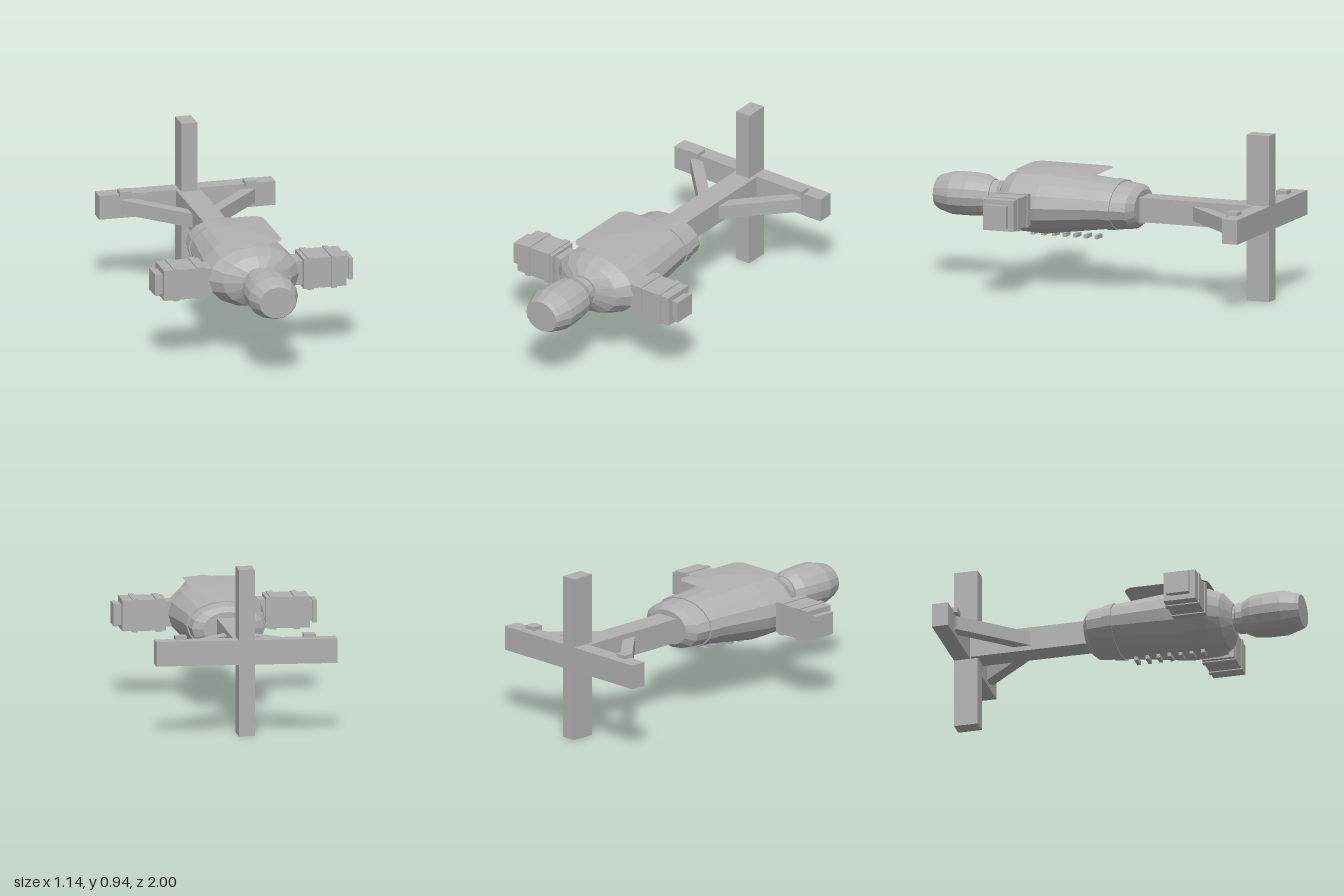
import * as THREE from 'three';

const grey = new THREE.MeshStandardMaterial({ color: 0xb0b0b0, flatShading: true });
grey.name = 'plain grey';
const greySheet = new THREE.MeshStandardMaterial({ color: 0xb0b0b0, flatShading: true, side: THREE.DoubleSide });
greySheet.name = 'plain grey sheet';

export function createModel() {
  const model = new THREE.Group();
  model.name = 'spacecraft';

  function add(name, geometry, material = grey, parent = model) {
    const mesh = new THREE.Mesh(geometry, material);
    mesh.name = name;
    parent.add(mesh);
    return mesh;
  }

  // Box given by its limits on each axis
  function box(name, [x0, x1], [y0, y1], [z0, z1], parent = model) {
    const mesh = add(name, new THREE.BoxGeometry(x1 - x0, y1 - y0, z1 - z0), grey, parent);
    mesh.position.set((x0 + x1) / 2, (y0 + y1) / 2, (z0 + z1) / 2);
    return mesh;
  }

  // Closed elliptical loft; sections run front to back as [z, half width, half height, centre y]
  function loft(name, sections, sides = 16) {
    const rows = sections.length - 1;
    const geo = new THREE.CylinderGeometry(1, 1, 1, sides, rows);
    geo.rotateX(Math.PI / 2);
    const p = geo.attributes.position;
    for (let i = 0; i < p.count; i++) {
      const [z, w, h, cy] = sections[Math.round((0.5 - p.getZ(i)) * rows)];
      p.setXYZ(i, p.getX(i) * w, cy + p.getY(i) * h, z);
    }
    geo.computeVertexNormals();
    return add(name, geo);
  }

  loft('hull', [
    [0.61, 0.09, 0.085, 0.475],
    [0.565, 0.198, 0.145, 0.47],
    [0.49, 0.265, 0.172, 0.47],
    [0.32, 0.265, 0.18, 0.47],
    [-0.05, 0.22, 0.137, 0.48],
    [-0.195, 0.205, 0.123, 0.477],
    [-0.228, 0.145, 0.097, 0.477],
  ]);
  loft('rearBand', [
    [-0.05, 0.23, 0.143, 0.48],
    [-0.105, 0.223, 0.138, 0.479],
  ]);
  loft('neck', [
    [0.70, 0.088, 0.088, 0.477],
    [0.63, 0.088, 0.088, 0.477],
    [0.62, 0.072, 0.075, 0.477],
    [0.58, 0.072, 0.075, 0.477],
  ]);
  loft('head', [
    [1.0, 0.105, 0.09, 0.478],
    [0.98, 0.115, 0.1, 0.478],
    [0.9, 0.143, 0.122, 0.478],
    [0.8, 0.141, 0.122, 0.478],
    [0.72, 0.128, 0.116, 0.478],
    [0.67, 0.1, 0.092, 0.478],
  ]);

  // Shallow domed shield with rounded corners, floating just above the hull
  const outline = new THREE.Shape();
  const w = 0.175, l = 0.242, r = 0.06;
  outline.absarc(w - r, l - r, r, 0, Math.PI / 2);
  outline.absarc(r - w, l - r, r, Math.PI / 2, Math.PI);
  outline.absarc(r - w, r - l, r, Math.PI, Math.PI * 1.5);
  outline.absarc(w - r, r - l, r, Math.PI * 1.5, Math.PI * 2);
  const rim = outline.getPoints(4);
  const fan = [];
  rim.forEach((a, i) => {
    const b = rim[(i + 1) % rim.length];
    fan.push(0, 0.015, 0, a.x, 0, -a.y, b.x, 0, -b.y);
  });
  const dome = new THREE.BufferGeometry();
  dome.setAttribute('position', new THREE.Float32BufferAttribute(fan, 3));
  dome.computeVertexNormals();
  add('topShield', dome, greySheet).position.set(0, 0.66, 0.25);
  const base = new THREE.ShapeGeometry(outline, 4).rotateX(-Math.PI / 2);
  add('shieldUnderside', base, greySheet).position.set(0, 0.66, 0.25);

  // Row of small vents along the belly
  for (let i = 0; i < 7; i++) {
    const z = 0.43 - i * 0.064;
    box('bellyVent', [-0.035, 0.035], [0.28, 0.302], [z - 0.01, z + 0.01]);
  }

  // Tail boom with crossed fins
  box('tailBoom', [-0.068, 0.068], [0.402, 0.54], [-0.9, -0.2]);
  box('verticalFin', [-0.045, 0.045], [0, 0.937], [-1, -0.863]);
  box('horizontalFin', [-0.507, 0.507], [0.402, 0.54], [-1, -0.907]);

  for (const side of [1, -1]) {
    const span = (a, b) => (side > 0 ? [a, b] : [-b, -a]);

    // Tail brace and its cap
    const dx = 0.32, dz = -0.345;
    const strut = add('tailBrace', new THREE.BoxGeometry(0.066, 0.08, Math.hypot(dx, dz)));
    strut.position.set(side * 0.2, 0.47, -0.742);
    strut.rotation.y = Math.atan2(side * dx, dz);
    box('braceCap', span(0.328, 0.393), [0.53, 0.56], [-0.95, -0.885]);

    // Side pod: a stack of square blocks, [x0, x1, half height, half depth]
    const pod = new THREE.Group();
    pod.name = side > 0 ? 'leftPod' : 'rightPod';
    model.add(pod);
    [
      ['podMount', 0.2, 0.29, 0.07, 0.065],
      ['podBody', 0.28, 0.525, 0.087, 0.092],
      ['podBand', 0.302, 0.337, 0.093, 0.097],
      ['podBand', 0.437, 0.469, 0.093, 0.097],
      ['podNeck', 0.52, 0.547, 0.057, 0.055],
      ['podCap', 0.545, 0.57, 0.063, 0.066],
    ].forEach(([name, x0, x1, h, d]) =>
      box(name, span(x0, x1), [0.47 - h, 0.47 + h], [0.431 - d, 0.431 + d], pod));
  }
  return model;
}
